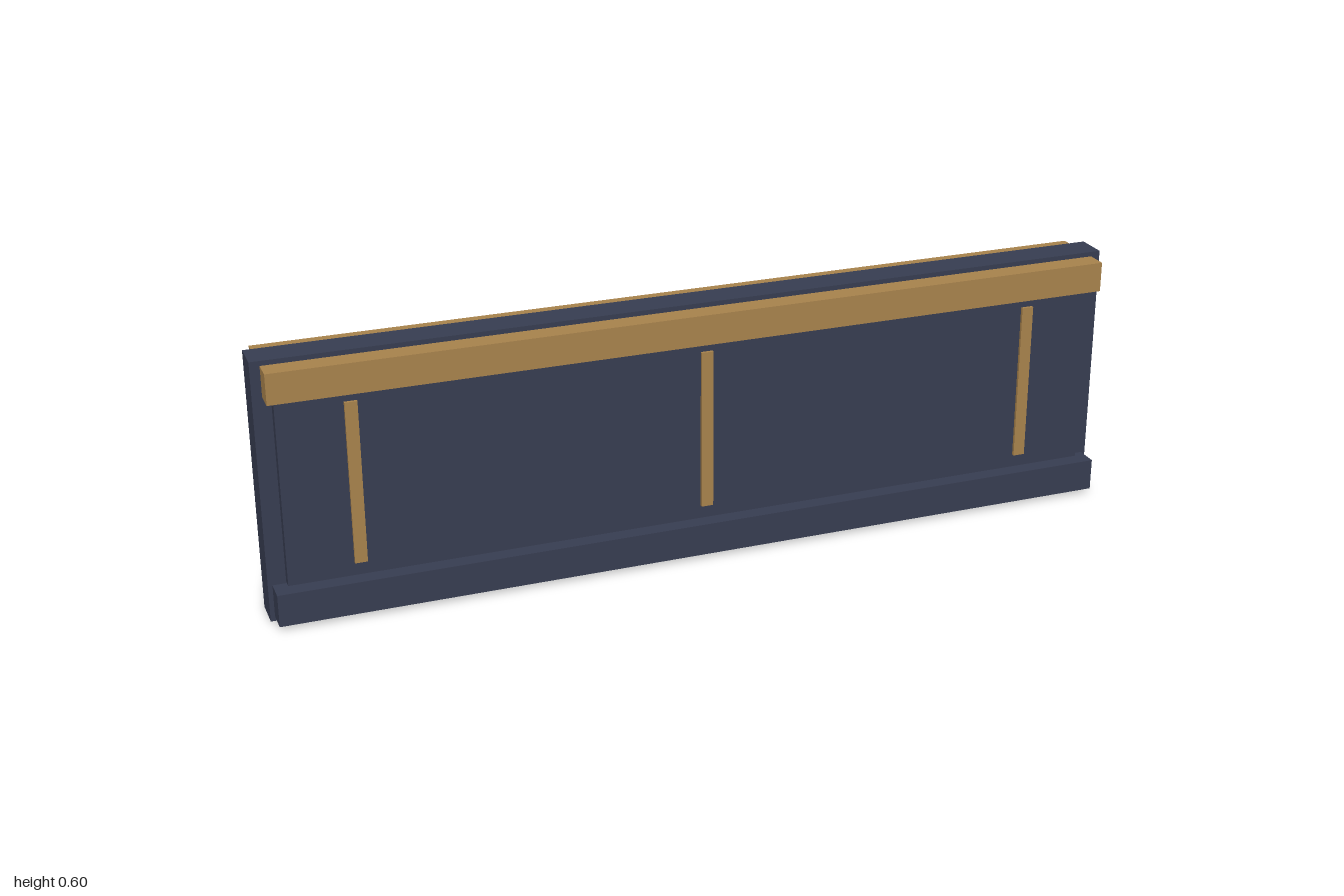
import * as THREE from 'three';

export function createModel() {
  const group = new THREE.Group();
  const navy = new THREE.MeshStandardMaterial({ name: 'dark navy', color: 0x363c50 });
  const gold = new THREE.MeshStandardMaterial({ name: 'muted gold', color: 0xa6814b });

  // Box spanning y0..y1 and z0..z1, centred on x
  function box(name, material, width, y0, y1, z0, z1, x = 0) {
    const mesh = new THREE.Mesh(new THREE.BoxGeometry(width, y1 - y0, z1 - z0), material);
    mesh.name = name;
    mesh.position.set(x, (y0 + y1) / 2, (z0 + z1) / 2);
    return mesh;
  }

  // Central wall slab
  group.add(box('wallCore', navy, 2, 0, 0.602, -0.037, 0.037));

  // Matching trim on the front and back faces
  for (const side of ['front', 'back']) {
    const face = new THREE.Group();
    face.name = side + 'Face';
    face.add(box('panel', navy, 1.92, 0.09, 0.522, 0.03, 0.06));
    face.add(box('baseboard', navy, 1.98, 0.011, 0.086, 0.03, 0.09));
    face.add(box('topRail', gold, 1.956, 0.521, 0.591, 0.03, 0.087));
    for (const x of [-0.8, 0, 0.8]) {
      face.add(box('verticalStrip', gold, 0.028, 0.121, 0.496, 0.055, 0.067, x));
    }
    if (side === 'back') face.rotation.y = Math.PI;
    group.add(face);
  }

  return group;
}
